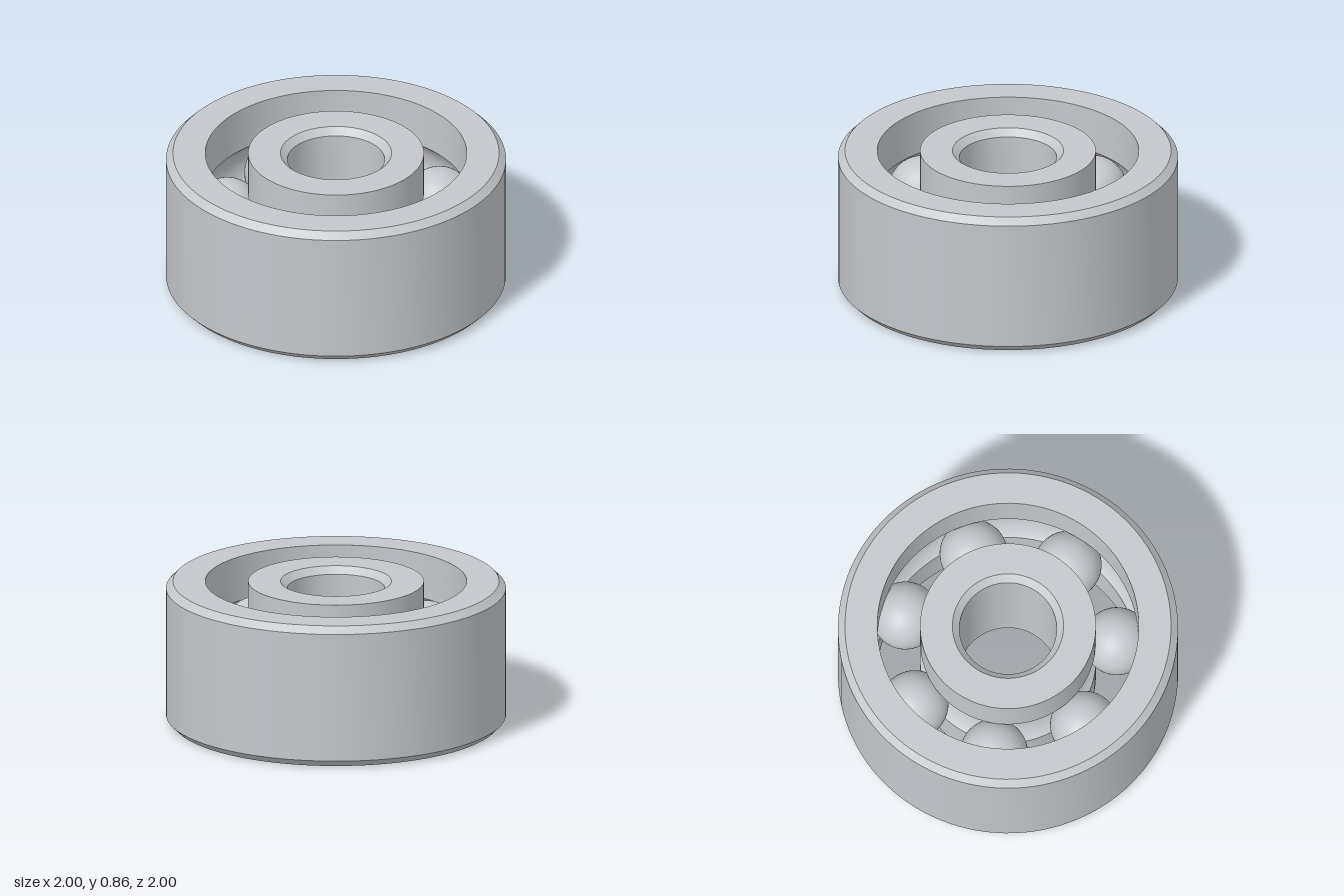
import * as THREE from 'three';
import { toCreasedNormals } from 'three/addons/utils/BufferGeometryUtils.js';

const HEIGHT = 0.857, MID = HEIGHT / 2;
const CHAMFER = 0.041;
const PITCH = 0.643, BALL_RADIUS = 0.2, GROOVE_RADIUS = 0.203;
const BALL_COUNT = 7;

// Points of the ball groove cut into a wall of the given radius, from bottom to top
function groove(wallRadius, steps = 18) {
  const offset = wallRadius - PITCH;
  const half = Math.acos(Math.abs(offset) / GROOVE_RADIUS);
  return Array.from({ length: steps + 1 }, (_, i) => {
    const a = -half + (2 * half * i) / steps;
    return [PITCH + Math.sign(offset) * GROOVE_RADIUS * Math.cos(a), MID + GROOVE_RADIUS * Math.sin(a)];
  });
}

// Revolves a closed counter-clockwise cross-section around y
function ring(name, section, material) {
  const points = [...section, section[0]].map(([x, y]) => new THREE.Vector2(x, y));
  const mesh = new THREE.Mesh(toCreasedNormals(new THREE.LatheGeometry(points, 112), 0.5), material);
  mesh.name = name;
  return mesh;
}

export function createModel() {
  const model = new THREE.Group();
  model.name = 'ballBearing';
  const steel = new THREE.MeshStandardMaterial({ color: 0xc4c7cc });
  steel.name = 'steel';

  // Outer ring: chamfered outside, grooved inside
  const outerWall = 0.769;
  model.add(ring('outerRing', [
    [outerWall, 0], [1 - CHAMFER, 0], [1, CHAMFER],
    [1, HEIGHT - CHAMFER], [1 - CHAMFER, HEIGHT], [outerWall, HEIGHT],
    ...groove(outerWall).reverse(),
  ], steel));

  // Inner ring: grooved outside, chamfered bore
  const innerWall = 0.517, bore = 0.286;
  model.add(ring('innerRing', [
    [bore + CHAMFER, 0], [innerWall, 0],
    ...groove(innerWall),
    [innerWall, HEIGHT], [bore + CHAMFER, HEIGHT],
    [bore, HEIGHT - CHAMFER], [bore, CHAMFER],
  ], steel));

  // Balls, evenly spaced with the first on +x
  const balls = new THREE.Group();
  balls.name = 'balls';
  const ballGeometry = new THREE.SphereGeometry(BALL_RADIUS, 40, 28);
  for (let i = 0; i < BALL_COUNT; i++) {
    const a = (i / BALL_COUNT) * Math.PI * 2;
    const ball = new THREE.Mesh(ballGeometry, steel);
    ball.name = `ball${i + 1}`;
    ball.position.set(PITCH * Math.cos(a), MID, PITCH * Math.sin(a));
    balls.add(ball);
  }
  model.add(balls);
  return model;
}
